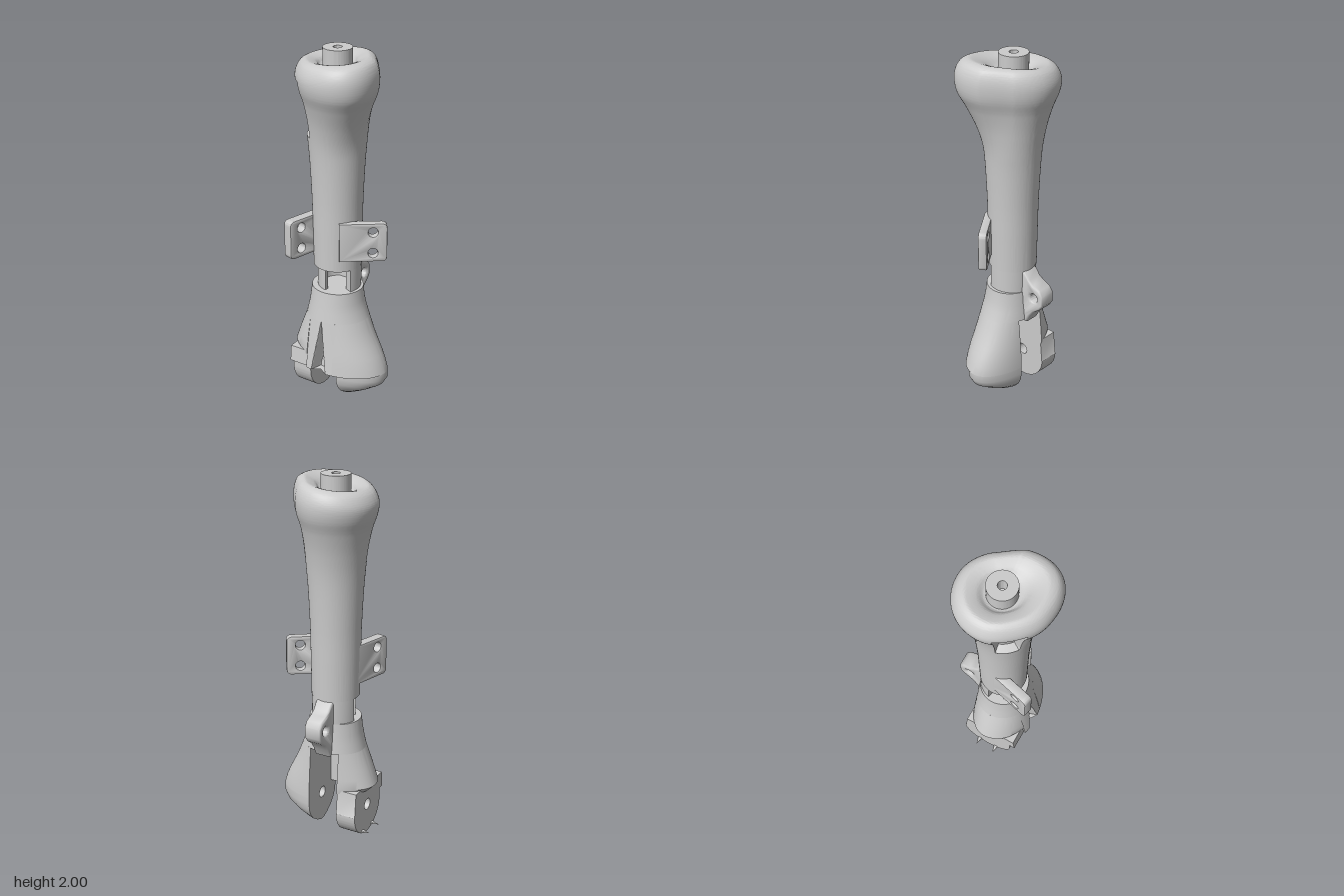
import * as THREE from 'three';
import { toCreasedNormals } from 'three/addons/utils/BufferGeometryUtils.js';

const CX = -0.035; // axis of the limb
const material = new THREE.MeshStandardMaterial({ color: 0xcccccc, side: THREE.DoubleSide });
const rad = THREE.MathUtils.degToRad;
const smooth = THREE.MathUtils.smoothstep;

function add(parent, name, geometry, crease = 0.6) {
  const mesh = new THREE.Mesh(toCreasedNormals(geometry, crease), material);
  mesh.name = name;
  parent.add(mesh);
  return mesh;
}

// Skin through rows of [x, y, z] points; rows rise, points run from +x towards +z
function loft(rows, { closed = true, bottom = true, top = true } = {}) {
  const n = rows[0].length, pos = rows.flat(2), index = [];
  for (let j = 0; j < rows.length - 1; j++) {
    for (let i = 0; i < (closed ? n : n - 1); i++) {
      const a = j * n + i, b = j * n + (i + 1) % n;
      index.push(a, a + n, b, b, a + n, b + n);
    }
  }
  const cap = (row, start, up) => {
    const c = pos.length / 3;
    pos.push(...[0, 1, 2].map(k => row.reduce((s, p) => s + p[k], 0) / n));
    for (let i = 0; i < n; i++) {
      const a = start + i, b = start + (i + 1) % n;
      index.push(c, up ? b : a, up ? a : b);
    }
  };
  if (bottom) cap(rows[0], 0, false);
  if (top) cap(rows[rows.length - 1], (rows.length - 1) * n, true);
  const g = new THREE.BufferGeometry();
  g.setAttribute('position', new THREE.Float32BufferAttribute(pos, 3));
  g.setIndex(index);
  return g;
}

function circleHole(x, y, r) {
  return new THREE.Path().absarc(x, y, r, 0, Math.PI * 2, true);
}

// Extrude a (z, y) profile from x = x0 towards -x
function sideExtrude(shape, x0, depth, bevel = 0) {
  const g = new THREE.ExtrudeGeometry(shape, {
    depth, curveSegments: 32, bevelEnabled: bevel > 0, bevelSize: bevel, bevelThickness: bevel, bevelSegments: 4,
  });
  return g.rotateY(-Math.PI / 2).translate(x0, 0, 0);
}

// Flared shaft with egg-shaped, dished head and a sunken side slot
function shaftGeometry() {
  const profile = new THREE.SplineCurve([
    [0.13, 0.8], [0.133, 1], [0.137, 1.2], [0.15, 1.45], [0.171, 1.6], [0.202, 1.72], [0.232, 1.8], [0.241, 1.86],
    [0.235, 1.91], [0.215, 1.95], [0.185, 1.968], [0.16, 1.966], [0.12, 1.95], [0.09, 1.925], [0.06, 1.92],
  ].map(p => new THREE.Vector2(...p))).getPoints(150);
  const k = [0.25, 0.295, 0.25, 0.215, 0.23, 0.243, 0.238, 0.215];
  const egg = new THREE.CatmullRomCurve3(k.map((v, i) => new THREE.Vector3(v, i, 0)), true);
  const rows = profile.map(({ x: r, y }, row) => {
    const blend = smooth(y, 1.45, 1.8) * (1 - smooth(row, 128, 145));
    const tilt = 0.1 * smooth(y, 1.8, 1.96);
    return Array.from({ length: 144 }, (_, i) => {
      const deg = i * 2.5, a = rad(deg);
      let R = r * (1 + blend * (egg.getPoint(i / 144).x / 0.241 - 1));
      if (y > 1.54 && y < 1.85 && deg > 121 && deg < 163) R -= 0.045;
      const x = CX + R * Math.cos(a);
      return [x, y + (x - 0.1) * tilt, R * Math.sin(a)];
    });
  });
  return loft(rows);
}

// Foot half-sizes by height: y, left x, right x, front z, back z
const FOOT = [
  [0, -0.13, 0.07, 0.02, 0.02], [0.02, -0.14, 0.1, 0.075, 0.075], [0.05, -0.16, 0.15, 0.112, 0.115],
  [0.08, -0.2, 0.2, 0.135, 0.137], [0.12, -0.235, 0.258, 0.152, 0.152], [0.16, -0.235, 0.281, 0.157, 0.155],
  [0.1999, -0.235, 0.28, 0.157, 0.156], [0.2, -0.235, 0.28, 0.205, 0.156], [0.25, -0.235, 0.265, 0.2, 0.155],
  [0.3, -0.28, 0.243, 0.195, 0.153], [0.35, -0.262, 0.217, 0.188, 0.151], [0.4, -0.244, 0.192, 0.181, 0.148],
  [0.45, -0.224, 0.17, 0.173, 0.146], [0.5, -0.205, 0.15, 0.165, 0.143], [0.55, -0.193, 0.131, 0.157, 0.138],
  [0.6, -0.184, 0.118, 0.149, 0.133], [0.67, -0.176, 0.11, 0.14, 0.128],
];
const between = (lo, hi) => FOOT.filter(f => f[0] >= lo && f[0] <= hi);

// Elliptical arc of a foot section between two angles
function footArc([y, xl, xr, zf, zb], a0, a1, n) {
  return Array.from({ length: n }, (_, i) => {
    const a = a0 + (a1 - a0) * i / (n - 1), c = Math.cos(a), s = Math.sin(a);
    return [CX + c * (c > 0 ? xr - CX : CX - xl), y, s * (s > 0 ? zf : zb)];
  });
}

function buildFoot(group) {
  const upper = between(0.5, 0.67).map(f => footArc(f, 0, Math.PI * 2 * 79 / 80, 80));
  add(group, 'ankle', loft(upper));

  // Left lobe, full bulb with a flat inner cheek and a blind pivot socket
  const innerX = 0.05;
  const bulb = between(0, 0.5).map(f => {
    const a = Math.acos((innerX - CX) / (f[2] - CX));
    return footArc(f, -a, a, 41);
  });
  add(group, 'leftLobe', loft(bulb, { closed: false }));
  const cheek = new THREE.Shape([
    ...bulb.map(r => new THREE.Vector2(r[0][2], r[0][1])),
    ...bulb.map(r => new THREE.Vector2(r[40][2], r[40][1])).reverse(),
  ]);
  cheek.holes.push(circleHole(0, 0.17, 0.032));
  add(group, 'leftCheek', new THREE.ShapeGeometry(cheek, 24).rotateY(-Math.PI / 2).translate(innerX, 0, 0));
  const socket = new THREE.CylinderGeometry(0.032, 0.032, 0.1, 32, 1, true).rotateZ(Math.PI / 2);
  add(group, 'leftPivotSocket', socket.translate(innerX + 0.05, 0.17, 0));

  // Right lobe, cut flat outside, with a through pivot hole
  const outerX = -0.12;
  const shoulder = [[0.27, -0.25, 0.2, 0.198, 0.154], ...between(0.3, 0.5)].map(f => {
    const a = Math.acos((CX - outerX) / (CX - f[1]));
    return footArc(f, Math.PI - a, Math.PI + a, 41);
  });
  add(group, 'rightShoulder', loft(shoulder));
  const plate = new THREE.Shape();
  plate.moveTo(-0.135, 0.29).lineTo(-0.148, 0.155);
  plate.absarc(0, 0.152, 0.15, Math.PI, Math.PI * 2, false);
  plate.lineTo(0.15, 0.2).lineTo(0.182, 0.2).lineTo(0.172, 0.29).closePath();
  plate.holes.push(circleHole(0, 0.17, 0.032));
  add(group, 'rightLobe', sideExtrude(plate, outerX, 0.115));
  for (const z of [-0.055, 0.055]) {
    const tip = new THREE.ConeGeometry(0.02, 0.06, 8).rotateZ(Math.PI / 2);
    add(group, 'rightRimTip', tip.scale(1, 0.6, 1).translate(-0.25, 0.025, z));
  }

  // Front wall bridging the lobes, with a groove widening downwards
  const wall = [];
  for (let j = 0; j <= 24; j++) {
    const t = j / 24, y = 0.2 + 0.3 * t, w = 0.046 * (1 - t), row = [];
    for (let i = 0; i <= 68; i++) {
      const x = innerX + (outerX - innerX) * i / 68, d = Math.abs(x - CX);
      const X = x > CX ? 0.315 - 0.13 * t : 0.26 - 0.09 * t;
      const z = (0.205 - 0.04 * t) * Math.sqrt(1 - (d / X) ** 2);
      row.push([x, y, z - 0.07 * THREE.MathUtils.clamp((w - d) / 0.02, 0, 1)]);
    }
    row.push([outerX, y, 0.1], [innerX, y, 0.1]);
    wall.push(row);
  }
  add(group, 'frontWall', loft(wall));
}

// Recessed neck walls, leaving two windows between them
function neckWall(a0, a1, r) {
  const arc = (R, y, rev) => {
    const pts = Array.from({ length: 33 }, (_, i) => {
      const a = rad(a0 + (a1 - a0) * i / 32);
      return [CX + R * Math.cos(a), y, R * Math.sin(a)];
    });
    return rev ? pts.reverse() : pts;
  };
  const rows = [0.65, 0.82].map(y => [...arc(r, y), ...arc(0.085, y, true)]);
  return loft(rows, { bottom: false, top: false });
}

// Rounded mounting tab with two screw holes
function tabGeometry(length, thickness) {
  const s = new THREE.Shape(), c = 0.03, lo = 0.87, hi = 1.09;
  s.moveTo(0, lo).lineTo(length - c, lo).quadraticCurveTo(length, lo, length, lo + c);
  s.lineTo(length, hi - c).quadraticCurveTo(length, hi, length - c, hi).lineTo(0, hi).closePath();
  for (const y of [0.92, 1.04]) s.holes.push(circleHole(length - 0.075, y, 0.026));
  const b = 0.006;
  return new THREE.ExtrudeGeometry(s, {
    depth: thickness - 2 * b, curveSegments: 20, bevelSize: b, bevelOffset: -b, bevelThickness: b, bevelSegments: 2,
  }).translate(0, 0, b - thickness);
}

export function createModel() {
  const group = new THREE.Group();
  group.name = 'limbSegment';
  add(group, 'shaft', shaftGeometry(), 0.7);

  // Top collar with a bore
  const collar = new THREE.Shape().absarc(0, 0, 0.077, 0, Math.PI * 2, false);
  collar.holes.push(circleHole(0, 0, 0.023));
  const collarGeo = new THREE.ExtrudeGeometry(collar, { depth: 0.12, curveSegments: 48, bevelEnabled: false });
  add(group, 'collar', collarGeo.rotateX(-Math.PI / 2).translate(CX, 1.88, -0.003));

  add(group, 'neckBack', neckWall(192, 385, 0.128));
  add(group, 'neckFront', neckWall(95, 152, 0.108));
  buildFoot(group);

  // Back lug with a cross hole
  const lug = new THREE.Shape([
    [-0.09, 0.8], [-0.125, 0.78], [-0.15, 0.745], [-0.185, 0.725], [-0.225, 0.708], [-0.242, 0.685], [-0.242, 0.635],
    [-0.225, 0.61], [-0.185, 0.58], [-0.155, 0.54], [-0.135, 0.5], [-0.09, 0.5],
  ].map(p => new THREE.Vector2(...p)));
  lug.holes.push(circleHole(-0.195, 0.66, 0.04));
  add(group, 'backLug', sideExtrude(lug, 0, 0.07, 0.015), 0.8);

  // Side mounting tabs, tangent to the shaft
  const leftTab = add(group, 'leftTab', tabGeometry(0.255, 0.045));
  leftTab.position.set(0.053, 0, 0.122);
  leftTab.rotation.y = 0.63;
  const rightTab = add(group, 'rightTab', tabGeometry(0.27, 0.055));
  rightTab.position.set(-0.155, 0, -0.03);
  rightTab.rotation.y = -1.823;
  return group;
}
